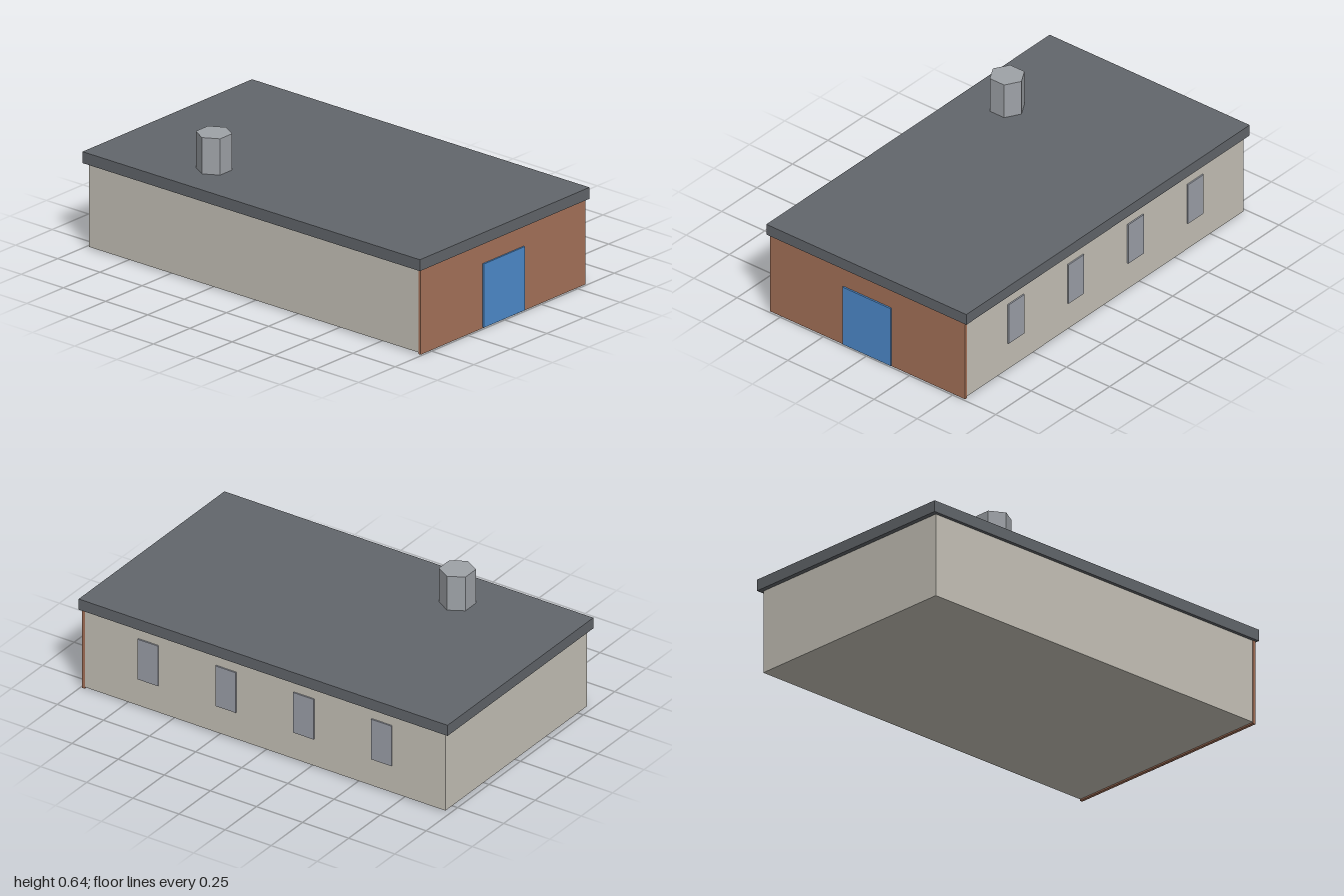
import * as THREE from 'three';

const mat = (name, color) => {
  const m = new THREE.MeshStandardMaterial({ color });
  m.name = name;
  return m;
};

export function createModel() {
  const group = new THREE.Group();
  const wall = mat('pale wall', 0xc6c2b8);
  const brick = mat('brick', 0xa67259);
  const roof = mat('roof grey', 0x62666b);
  const blue = mat('door blue', 0x4d8bcc);
  const glass = mat('window grey', 0x9ca0a9);
  const metal = mat('vent grey', 0x9ea2a7);

  // Box given by its minimum and maximum corners
  const box = (name, material, [x0, y0, z0], [x1, y1, z1]) => {
    const mesh = new THREE.Mesh(new THREE.BoxGeometry(x1 - x0, y1 - y0, z1 - z0), material);
    mesh.position.set((x0 + x1) / 2, (y0 + y1) / 2, (z0 + z1) / 2);
    mesh.name = name;
    group.add(mesh);
  };

  // Building body, brick front and overhanging flat roof
  box('walls', wall, [-0.563, 0.007, -0.977], [0.563, 0.41, 0.977]);
  box('brickFront', brick, [-0.565, 0, 0.977], [0.565, 0.41, 0.991]);
  box('roof', roof, [-0.58, 0.41, -1], [0.58, 0.465, 1]);

  // Wide door
  box('door', blue, [-0.14, 0.005, 0.991], [0.14, 0.312, 0.999]);

  // Four windows along the left wall
  for (let i = 0; i < 4; i++) {
    const z = 0.633 - i * 0.422;
    box('window' + (i + 1), glass, [0.563, 0.146, z - 0.055], [0.57, 0.354, z + 0.055]);
  }

  // Six-sided roof vent, corners pointing along x
  const vent = new THREE.Mesh(new THREE.CylinderGeometry(0.083, 0.083, 0.175, 6).toNonIndexed(), metal);
  vent.geometry.computeVertexNormals();
  vent.geometry.rotateY(Math.PI / 6);
  vent.position.set(-0.35, 0.5525, -0.42);
  vent.name = 'roofVent';
  group.add(vent);

  return group;
}
